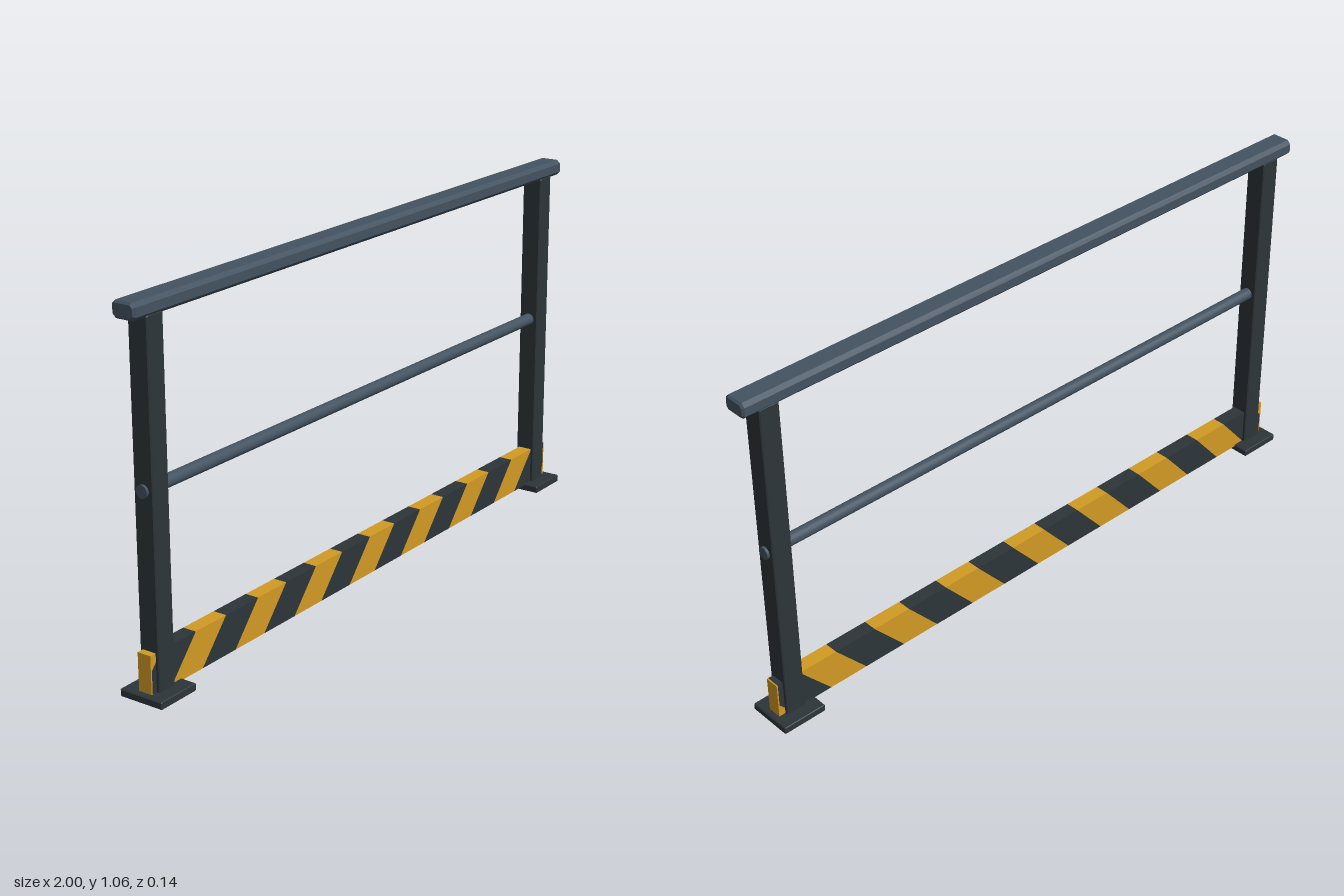
import * as THREE from 'three';

export function createModel() {
  const model = new THREE.Group();
  const material = (name, color) => {
    const m = new THREE.MeshStandardMaterial({ color });
    m.name = name;
    return m;
  };
  const charcoal = material('charcoal steel', 0x2d3539);
  const slate = material('slate blue steel', 0x445361);
  const amber = material('safety amber', 0xd29a24);

  const add = (name, geometry, mat, x = 0, y = 0, z = 0) => {
    const mesh = new THREE.Mesh(geometry, mat);
    mesh.name = name;
    mesh.position.set(x, y, z);
    model.add(mesh);
    return mesh;
  };

  // Box with chamfered edges, extruded along z and centred
  const chamferBox = (w, h, d, c, end = c) => {
    const a = w / 2 - end, b = h / 2 - end, k = Math.max(c - end * 0.5, 0.001);
    const shape = new THREE.Shape([
      [-a + k, -b], [a - k, -b], [a, -b + k], [a, b - k],
      [a - k, b], [-a + k, b], [-a, b - k], [-a, -b + k],
    ].map(([x, y]) => new THREE.Vector2(x, y)));
    const g = new THREE.ExtrudeGeometry(shape, {
      depth: d - 2 * end, bevelThickness: end, bevelSize: end, bevelSegments: 1,
    });
    return g.translate(0, 0, -(d - 2 * end) / 2);
  };

  // Top handrail, running the full width
  add('handrail', chamferBox(0.073, 0.046, 2, 0.01, 0.006).rotateY(Math.PI / 2), slate, 0, 1.033, 0);

  // Round middle rail, passing through both posts
  add('midRail', new THREE.CylinderGeometry(0.018, 0.018, 1.914, 20).rotateZ(Math.PI / 2), slate, 0, 0.562, 0);

  // Posts and base plates
  for (const side of [-1, 1]) {
    const label = side > 0 ? 'left' : 'right';
    add(label + 'Post', chamferBox(0.061, 1.0, 0.061, 0.004, 0.003), charcoal, side * 0.919, 0.515, 0);
    add(label + 'BasePlate', chamferBox(0.137, 0.022, 0.137, 0.003, 0.002), charcoal, side * 0.92, 0.011, 0);
  }

  // Toe board made of slanted blocks in alternating colours, cut square at the ends
  const y0 = 0.016, y1 = 0.13, end = 0.966, depth = 0.042;
  const pitch = 0.26, amberWidth = 0.124, slant = 0.1;
  const clip = (points, sign) => {
    const out = [];
    points.forEach((p, i) => {
      const q = points[(i + 1) % points.length];
      const dp = end - sign * p.x, dq = end - sign * q.x;
      if (dp >= 0) out.push(p);
      if (dp * dq < 0) out.push(p.clone().lerp(q, dp / (dp - dq)));
    });
    return out;
  };
  const addStripe = (from, to, name, mat) => {
    const h = slant / 2;
    const corners = [[from - h, y0], [to - h, y0], [to + h, y1], [from + h, y1]];
    const points = clip(clip(corners.map(([x, y]) => new THREE.Vector2(x, y)), 1), -1);
    if (points.length < 3) return;
    const g = new THREE.ExtrudeGeometry(new THREE.Shape(points), { depth, bevelEnabled: false });
    add(name, g, mat, 0, 0, -depth / 2);
  };
  for (let i = -4; i <= 4; i++) {
    const x = i * pitch, half = amberWidth / 2;
    addStripe(x - half, x + half, 'toeBoardAmberStripe', amber);
    addStripe(x + half, x + pitch - half, 'toeBoardDarkStripe', charcoal);
  }
  addStripe(-5 * pitch + amberWidth / 2, -4 * pitch - amberWidth / 2, 'toeBoardDarkStripe', charcoal);

  // Amber end caps of the toe board
  for (const side of [-1, 1]) {
    add('toeBoardEndCap', new THREE.BoxGeometry(0.004, y1 - y0, depth), amber, side * (end + 0.002), (y0 + y1) / 2, 0);
  }

  return model;
}
